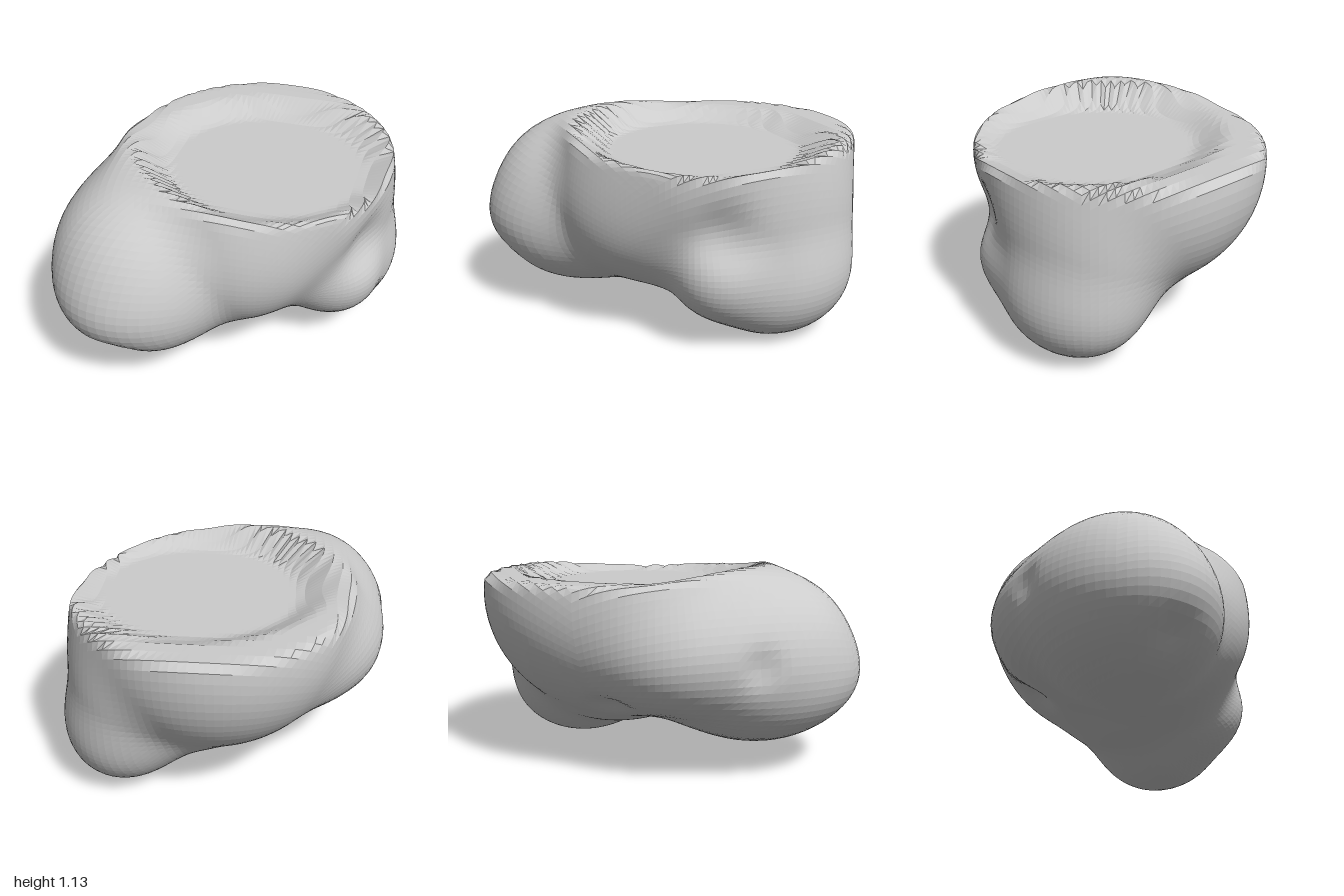
import * as THREE from 'three';

// Rounded masses that blend into one body: centre, radii
const masses = [
  { c: [0.08, 0.95, -0.17], r: [0.77, 0.74, 0.83] }, // crown
  { c: [0.3, 0.39, -0.2], r: [0.35, 0.24, 0.45] }, // sole
  { c: [0.52, 0.55, -0.35], r: [0.33, 0.48, 0.45] }, // leg
  { c: [0.58, 0.315, -0.34], r: [0.31, 0.3, 0.4] }, // heel
  { c: [0.59, 0.42, 0.05], r: [0.23, 0.22, 0.21] }, // knob in front of the leg
  { c: [0.05, 0.68, 0.3], r: [0.46, 0.42, 0.42] }, // front wall
  { c: [-0.45, 0.68, 0.08], r: [0.43, 0.36, 0.53] }, // flank
  { c: [-0.24, 0.43, 0.4], r: [0.3, 0.27, 0.44] }, // belly
  { c: [-0.42, 0.52, 0.55], r: [0.38, 0.27, 0.44] }, // snout
  { c: [-0.42, 0.64, 0.45], r: [0.46, 0.46, 0.51] }, // front lobe
];

// Small hollows: centre, radius, depth
const dents = [
  { c: [0.84, 0.7, 0.14], r: 0.14, depth: 0.07 },
  { c: [-0.92, 0.66, 0.25], r: 0.09, depth: 0.04 },
  { c: [-0.38, 0.36, -0.4], r: 0.1, depth: 0.05 },
  { c: [-0.42, 0.3, 0.85], r: 0.1, depth: 0.03 },
];

function ellipsoid(p, { c, r }) {
  const q = [0, 1, 2].map((i) => (p[i] - c[i]) / r[i]);
  const a = Math.hypot(...q);
  const b = Math.hypot(q[0] / r[0], q[1] / r[1], q[2] / r[2]);
  return b < 1e-6 ? -Math.min(...r) : (a * (a - 1)) / b;
}

// Smooth union of two distances
function blend(a, b, k) {
  const h = Math.max(k - Math.abs(a - b), 0) / k;
  return Math.min(a, b) - (h * h * k) / 4;
}

// Height of the shallow dish in the top; its rim is highest over the front lobe
function dishHeight(x, z) {
  const t = Math.hypot((x - 0.17) / 0.68, (z + 0.08) / 0.64);
  const rim = 0.08 + 0.06 * THREE.MathUtils.smoothstep(z - x, 0.3, 0.9);
  return 0.985 + rim * THREE.MathUtils.smoothstep(t, 0.8, 1.12);
}

// Signed distance to the whole body: negative inside
function body(p) {
  let d = masses.map((m) => ellipsoid(p, m)).reduce((a, b) => blend(a, b, 0.19));
  for (const { c, r, depth } of dents) {
    const s = Math.hypot(p[0] - c[0], p[1] - c[1], p[2] - c[2]) / r;
    d += depth * Math.exp(-s * s);
  }
  return -blend(-d, dishHeight(p[0], p[2]) - p[1], 0.05);
}

export function createModel() {
  const group = new THREE.Group();
  const origin = new THREE.Vector3(0.08, 0.4, 0);
  const geometry = new THREE.BoxGeometry(2, 2, 2, 36, 36, 36);
  const pos = geometry.attributes.position;
  const dir = new THREE.Vector3();
  const point = new THREE.Vector3();
  const at = (t) => body(point.copy(origin).addScaledVector(dir, t).toArray());

  // Push each point of the box out along its ray to the body's surface
  for (let i = 0; i < pos.count; i++) {
    dir.fromBufferAttribute(pos, i);
    dir.set(...dir.toArray().map((v) => Math.tan((v * Math.PI) / 4))).normalize();
    let outside = 1.6;
    while (outside > 0.05 && at(outside - 0.03) > 0) outside -= 0.03;
    let inside = outside - 0.03;
    for (let n = 0; n < 14; n++) {
      const mid = (inside + outside) / 2;
      if (at(mid) > 0) outside = mid;
      else inside = mid;
    }
    at(inside);
    pos.setXYZ(i, point.x, point.y, point.z);
  }
  geometry.computeVertexNormals();
  geometry.computeBoundingSphere();

  const mesh = new THREE.Mesh(
    geometry,
    new THREE.MeshStandardMaterial({ color: 0xcccccc, flatShading: true })
  );
  mesh.name = 'lobedBody';
  group.add(mesh);
  group.name = 'lobedBlock';
  return group;
}
